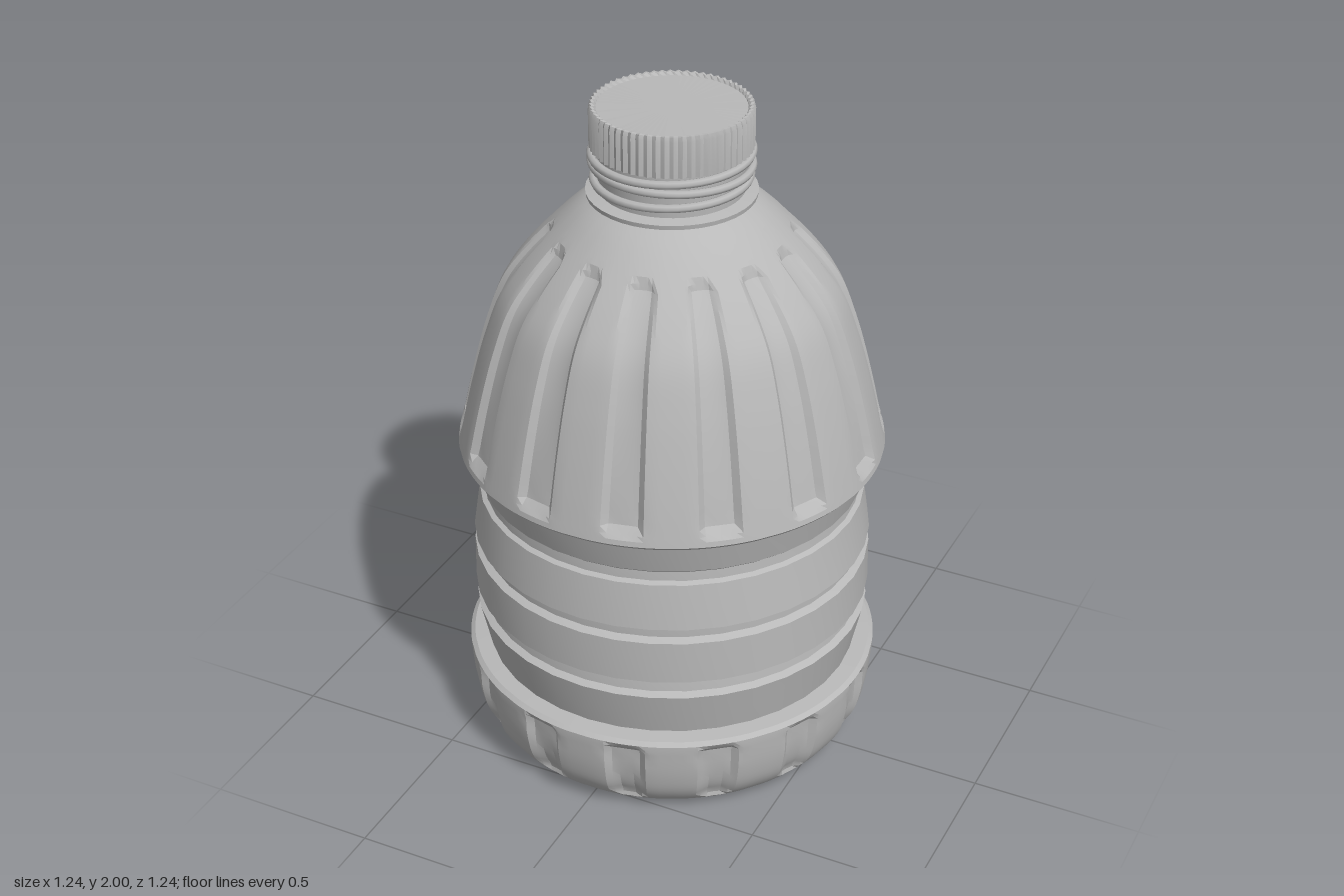
import * as THREE from 'three';
import { toCreasedNormals } from 'three/addons/utils/BufferGeometryUtils.js';

const PANELS = 14;
const STEP = (Math.PI * 2) / PANELS;
const plastic = new THREE.MeshStandardMaterial({ color: 0xb8b8b8 });
plastic.name = 'grey plastic';

// Columns packed around each panel so that its edges stay crisp
const panelColumns = [];
for (let i = 0; i < PANELS; i++) {
  for (const t of [-0.165, -0.125, -0.1, -0.07, -0.035, 0, 0.035, 0.07, 0.1, 0.125, 0.165]) {
    panelColumns.push({ angle: i * STEP + t, offset: t, index: i });
  }
}
const evenColumns = (n) =>
  Array.from({ length: n }, (_, i) => ({ angle: (i / n) * Math.PI * 2, offset: 0, index: i }));

// Surface of revolution from [radius, height] rows, with an optional rule moving each point
function revolve(rows, columns, rule = (r, y) => [r, y], crease = 0.3) {
  const pos = [], idx = [], n = columns.length;
  for (const [r0, y0] of rows) {
    for (const c of columns) {
      const [r, y] = rule(r0, y0, c);
      pos.push(r * Math.cos(c.angle), y, r * Math.sin(c.angle));
    }
  }
  for (let j = 0; j < rows.length - 1; j++) {
    for (let i = 0; i < n; i++) {
      const a = j * n + i, b = j * n + ((i + 1) % n);
      if (rows[j + 1][0] > 0) idx.push(a, a + n, b + n);
      if (rows[j][0] > 0) idx.push(a, b + n, b);
    }
  }
  const g = new THREE.BufferGeometry();
  g.setAttribute('position', new THREE.Float32BufferAttribute(pos, 3));
  g.setIndex(idx);
  return toCreasedNormals(g, crease);
}

// Depth of a recessed panel with rounded corners
function recess(offset, r, y, y0, y1, w0, w1, depth) {
  const w = THREE.MathUtils.lerp(w0, w1, THREE.MathUtils.clamp((y - y0) / (y1 - y0), 0, 1));
  const c = 0.035;
  const qx = Math.abs(offset) * r - (w - c);
  const qy = Math.abs(y - (y0 + y1) / 2) - ((y1 - y0) / 2 - c);
  const d = Math.min(Math.max(qx, qy), 0) + Math.hypot(Math.max(qx, 0), Math.max(qy, 0)) - c;
  return depth * THREE.MathUtils.clamp(-d / 0.02, 0, 1);
}

const smoothRows = (points, n) =>
  new THREE.SplineCurve(points.map((p) => new THREE.Vector2(...p))).getPoints(n).map((p) => [p.x, p.y]);

export function createModel() {
  const model = new THREE.Group();
  const add = (name, geometry, parent = model) => {
    const mesh = new THREE.Mesh(geometry, plastic);
    mesh.name = name;
    parent.add(mesh);
    return mesh;
  };

  // Foot: hollow underside with radial ribs, rounded heel, short recessed panels
  const footRows = [
    [0, 0.13], [0.06, 0.125], [0.18, 0.11], [0.3, 0.08], [0.38, 0.045], [0.43, 0.01],
    ...smoothRows([[0.46, 0], [0.53, 0.02], [0.58, 0.08], [0.603, 0.16], [0.613, 0.26]], 18),
    [0.613, 0.275], [0.6, 0.285], [0.545, 0.29],
  ];
  add('foot', revolve(footRows, panelColumns, (r, y, c) => {
    if (r < 0.42) {
      const rib = c.index % 2 === 0 && Math.abs(c.offset) < 0.05 && r > 0.1;
      return [r, rib ? y - 0.02 : y];
    }
    return [r - recess(c.offset, r, y, 0.035, 0.268, 0.045, 0.068, 0.02), y];
  }));

  // Waist: four slanted bands parted by narrow grooves
  const waistRows = [
    [0.552, 0.28], [0.585, 0.43], [0.565, 0.44], [0.56, 0.478],
    [0.588, 0.488], [0.586, 0.62], [0.565, 0.63], [0.565, 0.658],
    [0.586, 0.668], [0.566, 0.805], [0.552, 0.812], [0.55, 0.84],
    [0.562, 0.85], [0.592, 0.965],
  ];
  add('waist', revolve(waistRows, evenColumns(36)));

  // Shoulder: dome over a sharp rim, with long tapered panels
  const shoulderRows = [
    [0.575, 0.952], [0.612, 0.956], [0.62, 0.965],
    ...smoothRows([
      [0.617, 0.98], [0.595, 1.08], [0.565, 1.2], [0.53, 1.32], [0.485, 1.44],
      [0.425, 1.53], [0.345, 1.62], [0.26, 1.7], [0.18, 1.75],
    ], 40),
  ];
  add('shoulder', revolve(shoulderRows, panelColumns, (r, y, c) =>
    [r - recess(c.offset, r, y, 0.985, 1.63, 0.064, 0.043, 0.022), y]));

  // Neck with its collar, sealing rings and a slightly tilted thread
  const neck = new THREE.Group();
  neck.name = 'neck';
  model.add(neck);
  add('neckTube', revolve([[0.19, 1.72], [0.205, 1.75], [0.21, 1.89]], evenColumns(40)), neck);
  add('collar', revolve([[0.18, 1.735], [0.238, 1.735], [0.24, 1.748], [0.2, 1.755]], evenColumns(40)), neck);
  for (const [y, tilt, radius] of [[1.79, 0.02, 0.217], [1.83, -0.02, 0.222], [1.862, 0.02, 0.222]]) {
    const ring = add('neckRing', new THREE.TorusGeometry(radius, 0.012, 8, 48), neck);
    ring.rotation.x = Math.PI / 2 + tilt;
    ring.rotation.y = tilt;
    ring.position.y = y;
  }

  // Screw cap: ribbed wall with a beaded rim around a flat lid
  const capRows = [
    [0.2, 1.878], [0.222, 1.88], [0.222, 1.985], [0.218, 1.997], [0.21, 1.997], [0.207, 1.99], [0, 1.99],
  ];
  add('cap', revolve(capRows, evenColumns(120), (r, y, c) =>
    [r > 0.208 && c.index % 2 ? r + 0.006 : r, y > 1.995 && c.index % 2 ? 2 : y]));

  return model;
}
